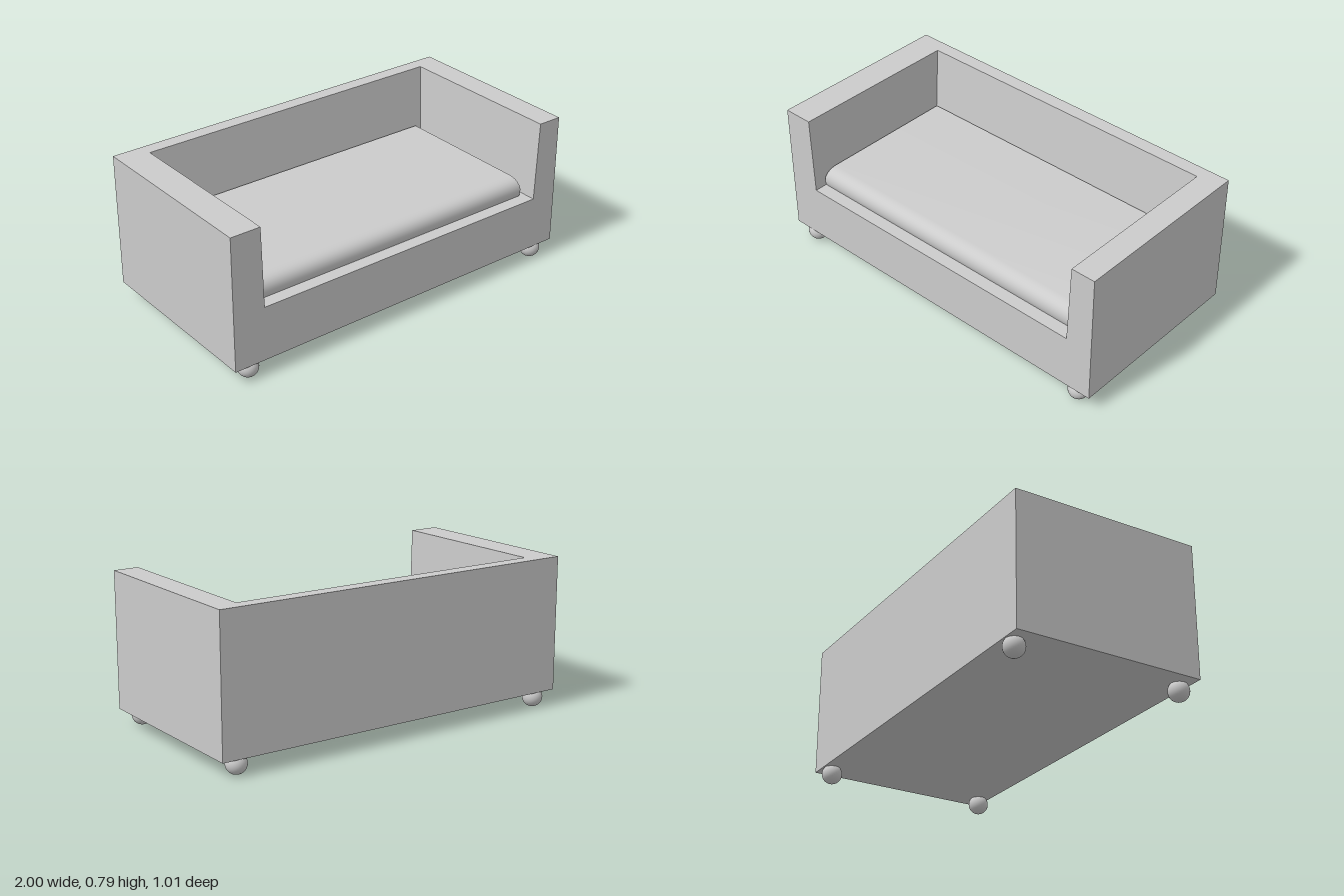
import * as THREE from 'three';
import { toCreasedNormals } from 'three/addons/utils/BufferGeometryUtils.js';

export function createModel() {
  const group = new THREE.Group();
  const grey = new THREE.MeshStandardMaterial({ color: 0xcccccc });
  const add = (name, geometry, x = 0, y = 0, z = 0) => {
    const mesh = new THREE.Mesh(geometry, grey);
    mesh.name = name;
    mesh.position.set(x, y, z);
    group.add(mesh);
  };

  // Frame: a closed box with a recess open at the top and front
  const base = 0.085, seat = 0.37, top = 0.79;
  // Four-cornered levels, in order back right, back left, front left, front right
  const level = (y, x0, x1, z0) => [[x0, y, z0], [x1, y, z0], [x1, y, 0.5], [x0, y, 0.5]];
  const bottom = level(base, -1, 1, -0.5);
  const rim = level(top, -1, 1, -0.5);
  const innerRim = level(top, -0.84, 0.87, -0.425);
  const floor = level(seat, -0.83, 0.855, -0.39);
  const positions = [];
  // Corners run anticlockwise as seen from outside
  const quad = (a, b, c, d) => positions.push(...a, ...b, ...c, ...a, ...c, ...d);

  quad(...bottom);
  quad(floor[3], floor[2], floor[1], floor[0]);
  for (const i of [3, 0, 1]) {
    const j = (i + 1) % 4;
    quad(bottom[j], bottom[i], rim[i], rim[j]);                 // outer wall
    quad(rim[j], rim[i], innerRim[i], innerRim[j]);             // top of wall
    quad(floor[i], floor[j], innerRim[j], innerRim[i]);         // inner wall
  }
  quad(bottom[3], floor[3], innerRim[3], rim[3]);               // right arm front
  quad(floor[2], bottom[2], rim[2], innerRim[2]);               // left arm front
  quad(bottom[3], bottom[2], floor[2], floor[3]);               // front rail
  const frame = new THREE.BufferGeometry();
  frame.setAttribute('position', new THREE.Float32BufferAttribute(positions, 3));
  frame.computeVertexNormals();
  add('frame', frame);

  // Seat cushion: side profile with a rolled front edge, extruded across the seat
  const profile = new THREE.Shape();
  profile.moveTo(0.39, seat);
  profile.lineTo(-0.43, seat);
  profile.bezierCurveTo(-0.445, 0.4, -0.445, 0.465, -0.37, 0.47);
  profile.lineTo(0.38, 0.47);
  profile.lineTo(0.39, 0.46);
  profile.closePath();
  const cushion = new THREE.ExtrudeGeometry(profile, {
    depth: 1.645, bevelEnabled: false, curveSegments: 12,
  });
  cushion.rotateY(Math.PI / 2);
  cushion.translate(-0.825, 0, 0);
  // Profile x becomes -z; the ends lean in slightly towards the top
  const p = cushion.attributes.position;
  for (let i = 0; i < p.count; i++) {
    const lean = 0.012 * Math.max(0, (p.getY(i) - 0.42) / 0.05);
    p.setX(i, p.getX(i) - Math.sign(p.getX(i)) * lean);
  }
  add('seatCushion', toCreasedNormals(cushion, 0.6));

  // Ball feet
  const ball = new THREE.SphereGeometry(0.053, 32, 20);
  for (const x of [-0.9, 0.9])
    for (const z of [-0.45, 0.45]) add('foot', ball, x, 0.053, z);

  return group;
}
